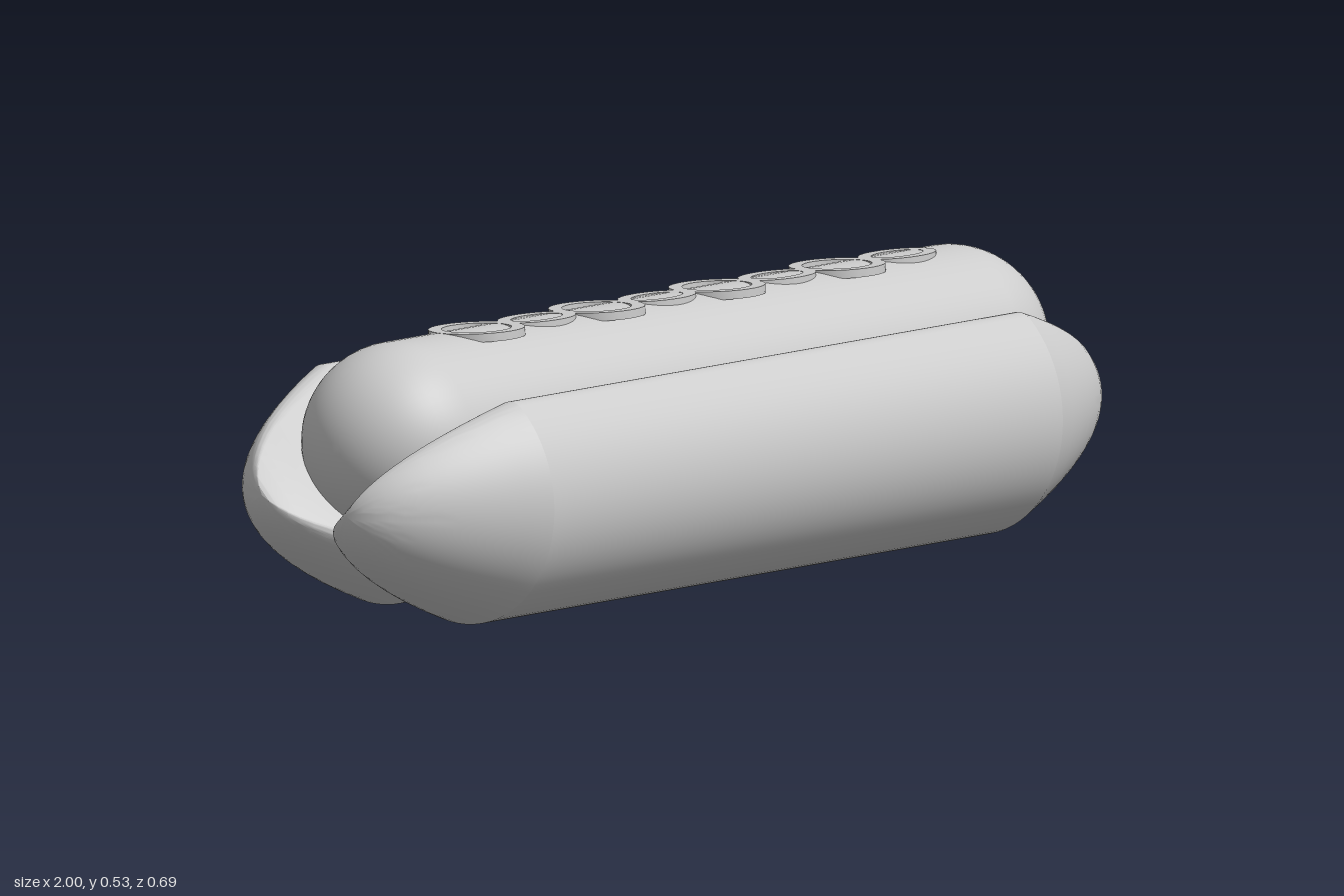
import * as THREE from 'three';
import { toCreasedNormals } from 'three/addons/utils/BufferGeometryUtils.js';

const material = new THREE.MeshStandardMaterial({ color: 0xcccccc });

// Bun cross-section as [z, y] about its axis: a round with a slanted flat cut and rounded lips
function bunSection(R) {
  const cut = 0.055, lip = 0.04, normal = Math.PI * 0.75;
  const reach = Math.acos((cut - lip) / (R - lip));
  const points = [];
  const arc = (centreAngle, radius, from, to, steps) => {
    const d = centreAngle === null ? 0 : R - lip;
    for (let i = 0; i < steps; i++) {
      const a = normal + from + (to - from) * i / (steps - 1);
      points.push([
        d * Math.cos(normal + centreAngle) + radius * Math.cos(a),
        d * Math.sin(normal + centreAngle) + radius * Math.sin(a),
      ]);
    }
  };
  arc(reach, lip, 0, reach * 0.9, 10);
  arc(null, R, reach, 2 * Math.PI - reach, 40);
  arc(-reach, lip, -reach * 0.9, 0, 10);
  return points;
}

// Sweep the section along x, shrinking it to a rounded tip at both ends
function bunGeometry(R) {
  const section = bunSection(R), n = section.length, steps = 12;
  const rings = [];
  for (let i = 0; i <= steps; i++) {
    const s = i / steps;
    rings.push([-(0.69 + 0.31 * (1 - s * s)), s]);
  }
  for (let i = steps; i >= 0; i--) rings.push([-rings[i][0], rings[i][1]]);
  const positions = [], index = [];
  for (const [x, s] of rings) for (const [z, y] of section) positions.push(x, y * s, z * s);
  for (let j = 0; j < rings.length - 1; j++) {
    for (let i = 0; i < n; i++) {
      const k = (i + 1) % n;
      const a = j * n + i, b = a + n, c = j * n + k, d = c + n;
      if (rings[j][1] > 0) index.push(a, b, c);
      if (rings[j + 1][1] > 0) index.push(c, b, d);
    }
  }
  const geometry = new THREE.BufferGeometry();
  geometry.setAttribute('position', new THREE.Float32BufferAttribute(positions, 3));
  geometry.setIndex(index);
  return toCreasedNormals(geometry, 0.3);
}

// Flat oval loop of sauce lying in the xz plane, top face at y = 0
function sauceLoop(rx, rz) {
  const band = 0.025;
  const shape = new THREE.Shape().absellipse(0, 0, rx, rz, 0, Math.PI * 2);
  shape.holes.push(new THREE.Path().absellipse(0, 0, rx - band, rz - band, 0, Math.PI * 2, true));
  const geometry = new THREE.ExtrudeGeometry(shape, { depth: 0.016, bevelEnabled: false, curveSegments: 28 });
  geometry.rotateX(Math.PI / 2);
  return toCreasedNormals(geometry, 0.6);
}

export function createModel() {
  const model = new THREE.Group();
  model.name = 'hotDog';
  const add = (parent, geometry, name) => {
    const mesh = new THREE.Mesh(geometry, material);
    mesh.name = name;
    parent.add(mesh);
    return mesh;
  };

  // Two bun halves leaning open in a V
  add(model, bunGeometry(0.24), 'frontBun').position.set(0, 0.24, 0.108);
  const back = add(model, bunGeometry(0.242), 'backBun');
  back.position.set(0, 0.255, -0.104);
  back.rotation.y = Math.PI;

  // Sausage
  const sausage = new THREE.CapsuleGeometry(0.186, 1.486, 16, 64);
  sausage.rotateZ(Math.PI / 2);
  add(model, sausage, 'sausage').position.set(0, 0.339, 0.01);

  // Slightly tilted chain of alternating large and small sauce loops
  const sauce = new THREE.Group();
  sauce.name = 'sauce';
  sauce.position.set(0, 0.525, 0);
  sauce.rotation.x = -0.05;
  model.add(sauce);
  for (let i = 0; i < 8; i++) {
    const large = i % 2 === 0;
    const loop = add(sauce, sauceLoop(large ? 0.09 : 0.085, large ? 0.09 : 0.06), large ? 'largeSauceLoop' : 'smallSauceLoop');
    loop.position.set(-0.535 + i * 0.163, 0, 0.006);
  }
  return model;
}
